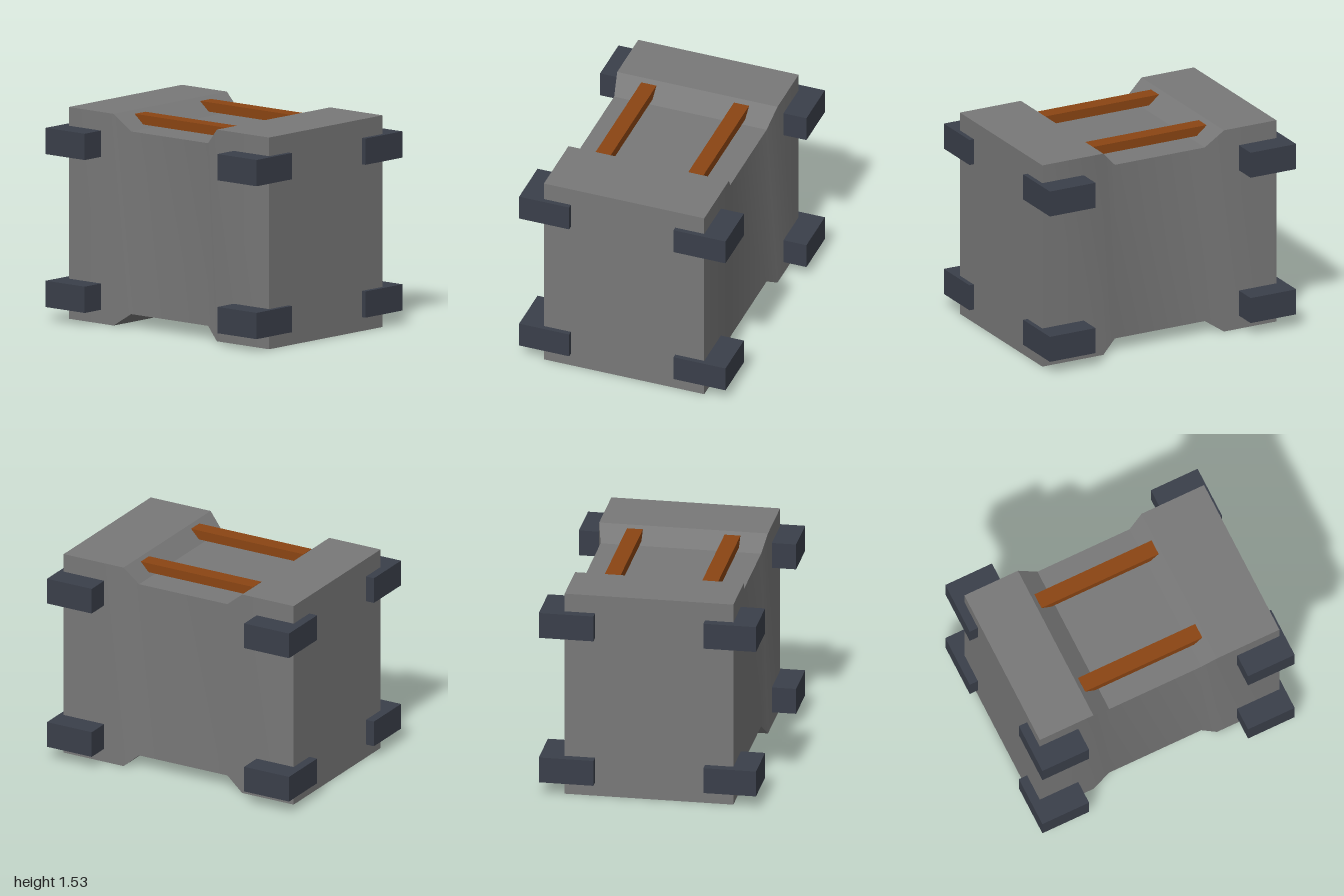
import * as THREE from 'three';
import { toCreasedNormals } from 'three/addons/utils/BufferGeometryUtils.js';

const material = (color) => new THREE.MeshStandardMaterial({ color });

// Box given by its lower and upper limits on each axis
function addBox(parent, name, mat, [x0, x1], [y0, y1], [z0, z1]) {
  const mesh = new THREE.Mesh(new THREE.BoxGeometry(x1 - x0, y1 - y0, z1 - z0), mat);
  mesh.position.set((x0 + x1) / 2, (y0 + y1) / 2, (z0 + z1) / 2);
  mesh.name = name;
  parent.add(mesh);
}

// Rectangular cross-sections [x, bottom, top, halfDepth] lofted along x
function loftBody(sections) {
  const positions = [];
  const index = [];
  for (const [x, y0, y1, d] of sections) {
    positions.push(x, y0, d, x, y0, -d, x, y1, -d, x, y1, d);
  }
  for (let i = 0; i < sections.length - 1; i++) {
    for (let j = 0; j < 4; j++) {
      const a = i * 4 + j;
      const b = i * 4 + ((j + 1) % 4);
      index.push(a, b, b + 4, a, b + 4, a + 4);
    }
  }
  const e = (sections.length - 1) * 4;
  index.push(0, 2, 1, 0, 3, 2, e, e + 1, e + 2, e, e + 2, e + 3);
  const geometry = new THREE.BufferGeometry();
  geometry.setAttribute('position', new THREE.Float32BufferAttribute(positions, 3));
  geometry.setIndex(index);
  return toCreasedNormals(geometry, 0.5);
}

export function createModel() {
  const crate = new THREE.Group();
  crate.name = 'crate';

  // Body with a recessed middle band
  const body = new THREE.Mesh(loftBody([
    [-0.935, 0, 1.53, 0.61],
    [-0.51, 0, 1.53, 0.61],
    [-0.37, 0.095, 1.415, 0.58],
    [0.36, 0.095, 1.415, 0.58],
    [0.47, 0, 1.53, 0.61],
    [0.965, 0, 1.53, 0.61],
  ]), material(0x787878));
  body.name = 'body';
  crate.add(body);

  // Corner guards, two on each vertical edge
  const guards = new THREE.Group();
  guards.name = 'cornerGuards';
  const guardMat = material(0x3a3f4a);
  for (const x of [[-1, -0.63], [0.63, 1]]) {
    for (const y of [[0.1, 0.29], [1.205, 1.395]]) {
      for (const z of [[-0.785, -0.39], [0.405, 0.785]]) {
        addBox(guards, 'cornerGuard', guardMat, x, y, z);
      }
    }
  }
  crate.add(guards);

  // Carrying bars across the top recess
  const barMat = material(0x8b4513);
  for (const z of [[-0.405, -0.29], [0.3, 0.415]]) {
    addBox(crate, 'carryBar', barMat, [-0.48, 0.45], [1.44, 1.508], z);
  }

  return crate;
}
